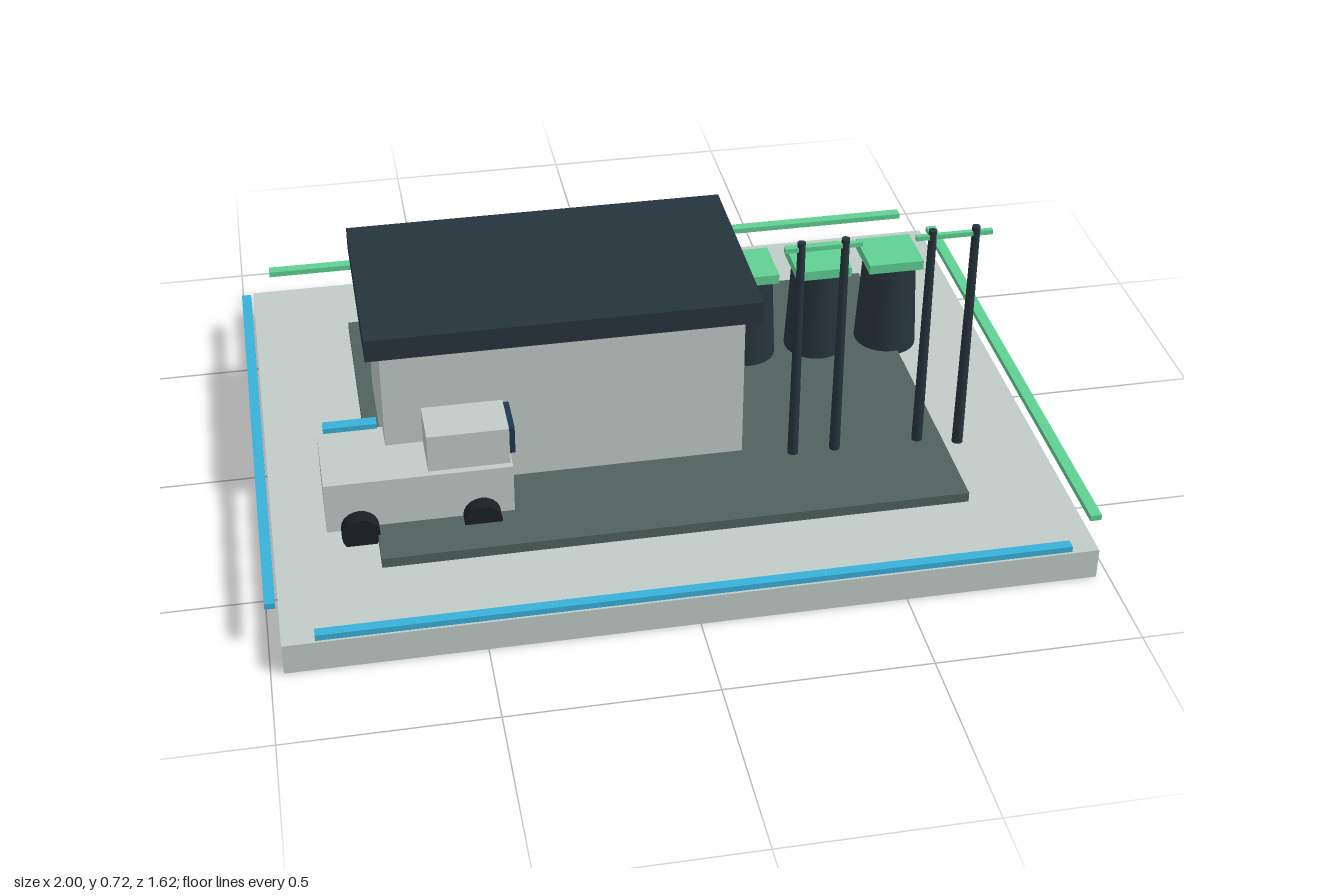
import * as THREE from 'three';

const mat = (color) => new THREE.MeshStandardMaterial({ color });

export function createModel() {
  const model = new THREE.Group();
  const concrete = mat(0xc0cac6), paving = mat(0x50625e), dark = mat(0x25343c);
  const green = mat(0x5fd093), blue = mat(0x38b0d8), rubber = mat(0x1a2022), glass = mat(0x1e3850);

  // box given by its extents on each axis
  const box = (parent, name, material, [x0, x1], [y0, y1], [z0, z1]) => {
    const m = new THREE.Mesh(new THREE.BoxGeometry(x1 - x0, y1 - y0, z1 - z0), material);
    m.position.set((x0 + x1) / 2, (y0 + y1) / 2, (z0 + z1) / 2);
    m.name = name;
    parent.add(m);
    return m;
  };
  // upright tapered cylinder
  const column = (parent, name, material, rTop, rBottom, x, z, y0, y1, sides) => {
    const m = new THREE.Mesh(new THREE.CylinderGeometry(rTop, rBottom, y1 - y0, sides), material);
    m.position.set(x, (y0 + y1) / 2, z);
    m.name = name;
    parent.add(m);
  };
  const group = (name) => {
    const g = new THREE.Group();
    g.name = name;
    model.add(g);
    return g;
  };

  // ground slab and paved yard
  box(model, 'baseSlab', concrete, [-0.97, 0.97], [0, 0.08], [-0.767, 0.767]);
  box(model, 'yard', paving, [-0.72, 0.72], [0.08, 0.106], [-0.525, 0.525]);

  // building with overhanging flat roof and a strip on its back wall
  const building = group('building');
  box(building, 'walls', concrete, [-0.68, 0.21], [0.09, 0.502], [-0.22, 0.25]);
  box(building, 'roof', dark, [-0.715, 0.248], [0.502, 0.56], [-0.255, 0.28]);
  box(building, 'backWallStrip', green, [-0.575, 0.0], [0.312, 0.33], [-0.237, -0.219]);

  // tapered storage tanks with square lids
  const tanks = group('tanks');
  for (const x of [0.315, 0.51, 0.705]) {
    column(tanks, 'tank', dark, 0.07, 0.083, x, -0.202, 0.095, 0.35, 24);
    box(tanks, 'tankLid', green, [x - 0.073, x + 0.073], [0.348, 0.374], [-0.273, -0.131]);
  }

  // pairs of poles joined by a crossbar
  const poles = group('poleFrames');
  for (const x of [0.388, 0.711]) {
    for (const side of [-1, 1])
      column(poles, 'pole', dark, 0.01, 0.014, x + side * 0.054, 0.28, 0.085, 0.718, 12);
    box(poles, 'crossbar', green, [x - 0.095, x + 0.095], [0.694, 0.706], [0.274, 0.286]);
  }

  // edge rails around the slab
  const rails = group('edgeRails');
  const railY = [0.117, 0.132];
  box(rails, 'backRail', green, [-0.92, 0.912], railY, [-0.812, -0.784]);
  box(rails, 'frontRail', blue, [-0.893, 0.885], railY, [0.78, 0.805]);
  box(rails, 'leftRail', green, [0.967, 0.995], railY, [-0.7, 0.7]);
  box(rails, 'rightRail', blue, [-1, -0.975], railY, [-0.675, 0.675]);

  // pickup truck facing +x
  const truck = group('truck');
  box(truck, 'truckBody', concrete, [-0.84, -0.385], [0.1, 0.236], [0.17, 0.392]);
  box(truck, 'truckCab', concrete, [-0.588, -0.39], [0.236, 0.335], [0.185, 0.375]);
  box(truck, 'windshield', glass, [-0.392, -0.375], [0.254, 0.328], [0.2, 0.36]);
  box(truck, 'bedStrip', blue, [-0.825, -0.693], [0.236, 0.25], [0.145, 0.175]);
  for (const x of [-0.76, -0.465])
    for (const z of [0.153, 0.41]) {
      const wheel = new THREE.Mesh(new THREE.CylinderGeometry(0.046, 0.046, 0.042, 20), rubber);
      wheel.rotation.x = Math.PI / 2;
      wheel.position.set(x, 0.108, z);
      wheel.name = 'wheel';
      truck.add(wheel);
    }

  return model;
}
